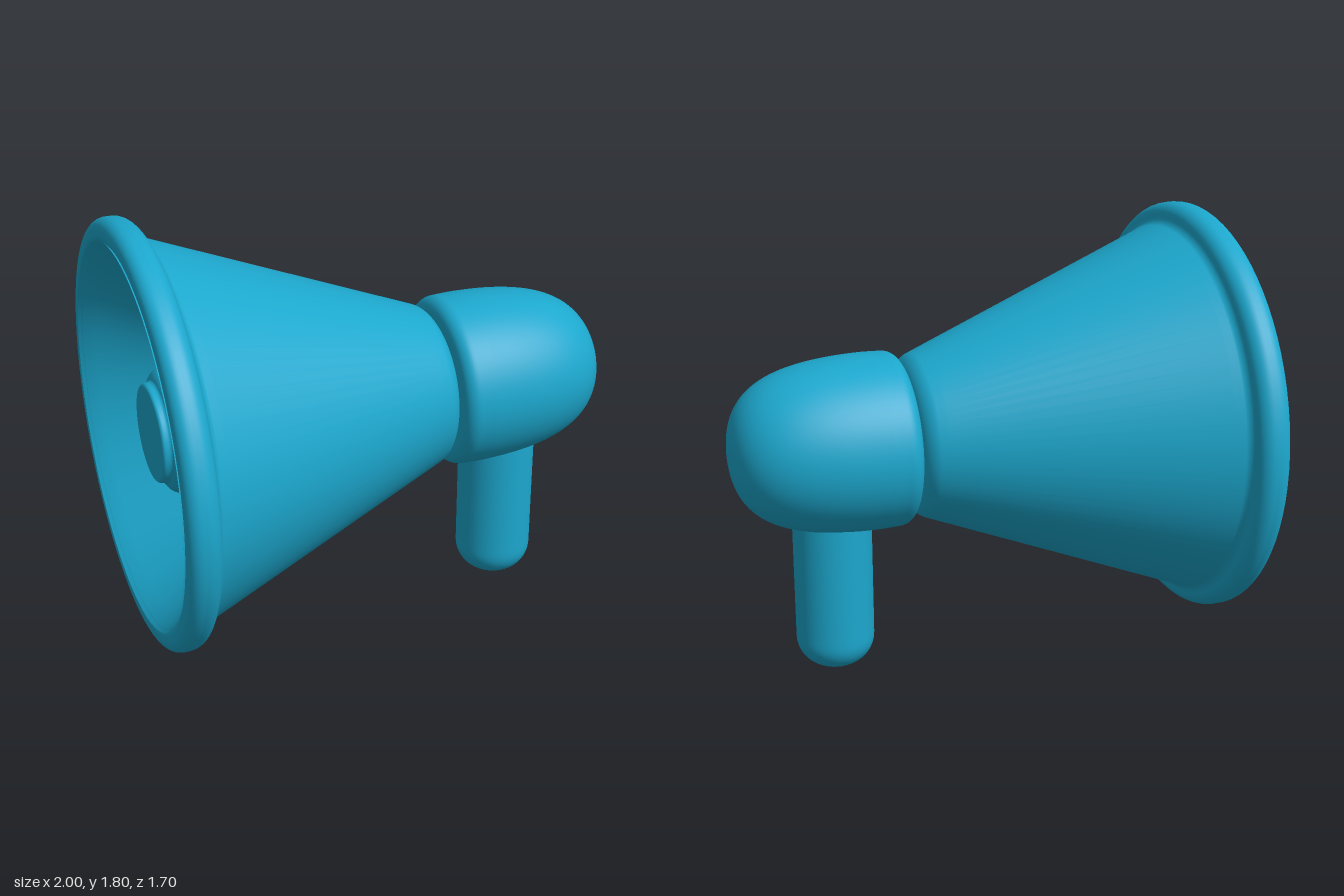
import * as THREE from 'three';

const AXIS_Y = 0.95;

// Profile through [radius, height, cornerRadius] points, with rounded corners.
// Extra points close to each line's ends keep straight stretches evenly shaded.
function profile(corners) {
  const pts = [];
  const v = corners.map(([r, h]) => new THREE.Vector2(r, h));
  const addLine = (a, b) => {
    for (const t of [0, 0.03, 0.97, 1]) pts.push(a.clone().lerp(b, t));
  };
  let from = v[0];
  for (let i = 1; i < v.length; i++) {
    const size = corners[i][2] || 0;
    if (!size || i === v.length - 1) {
      addLine(from, v[i]);
      from = v[i];
      continue;
    }
    const start = v[i].clone().add(v[i - 1].clone().sub(v[i]).setLength(size));
    const end = v[i].clone().add(v[i + 1].clone().sub(v[i]).setLength(size));
    addLine(from, start);
    const mid = (p) => p.clone().lerp(v[i], 0.56);
    pts.push(...new THREE.CubicBezierCurve(start, mid(start), mid(end), end).getPoints(10).slice(1));
    from = end;
  }
  return pts.filter((p, i) => i === 0 || p.distanceTo(pts[i - 1]) > 1e-5);
}

export function createModel() {
  const model = new THREE.Group();
  model.name = 'megaphone';

  const blue = new THREE.MeshStandardMaterial({ color: 0x1ca7cd });
  blue.name = 'blue';

  const turned = (name, points, parent, segments = 80) => {
    const mesh = new THREE.Mesh(new THREE.LatheGeometry(points, segments), blue);
    mesh.name = name;
    parent.add(mesh);
    return mesh;
  };

  // Everything turned about the long axis: local +y points along +x
  const barrel = new THREE.Group();
  barrel.name = 'barrel';
  barrel.rotation.z = -Math.PI / 2;
  barrel.position.y = AXIS_Y;
  model.add(barrel);

  // Hollow bell: flared inner wall, rolled rim, outer wall and neck
  turned('bell', profile([
    [0.3, -0.32],
    [0.74, -0.97, 0.04],
    [0.765, -1.0, 0.02],
    [0.85, -1.0, 0.05],
    [0.85, -0.875, 0.055],
    [0.77, -0.868, 0.025],
    [0.312, 0.288, 0.06],
    [0, 0.288],
  ]), barrel);

  // Tapered core inside the bell with a small stepped tip
  turned('innerHorn', profile([
    [0, -0.91],
    [0.195, -0.91, 0.012],
    [0.2, -0.875, 0.01],
    [0.24, -0.865, 0.035],
    [0.4, -0.25],
  ]), barrel);

  // Domed rear housing
  const dome = new THREE.CubicBezierCurve(
    new THREE.Vector2(0.355, 0.42), new THREE.Vector2(0.355, 0.87),
    new THREE.Vector2(0.23, 0.997), new THREE.Vector2(0, 0.997),
  );
  turned('rearHousing', [
    ...profile([[0, 0.295], [0.35, 0.295, 0.055], [0.355, 0.42]]),
    ...dome.getPoints(32).slice(1),
  ], barrel);

  // Grip with a rounded foot
  const grip = turned('handle', profile([
    [0, 0], [0.16, 0, 0.125], [0.16, 0.85], [0, 0.85],
  ]), model, 48);
  grip.position.x = 0.594;

  return model;
}
